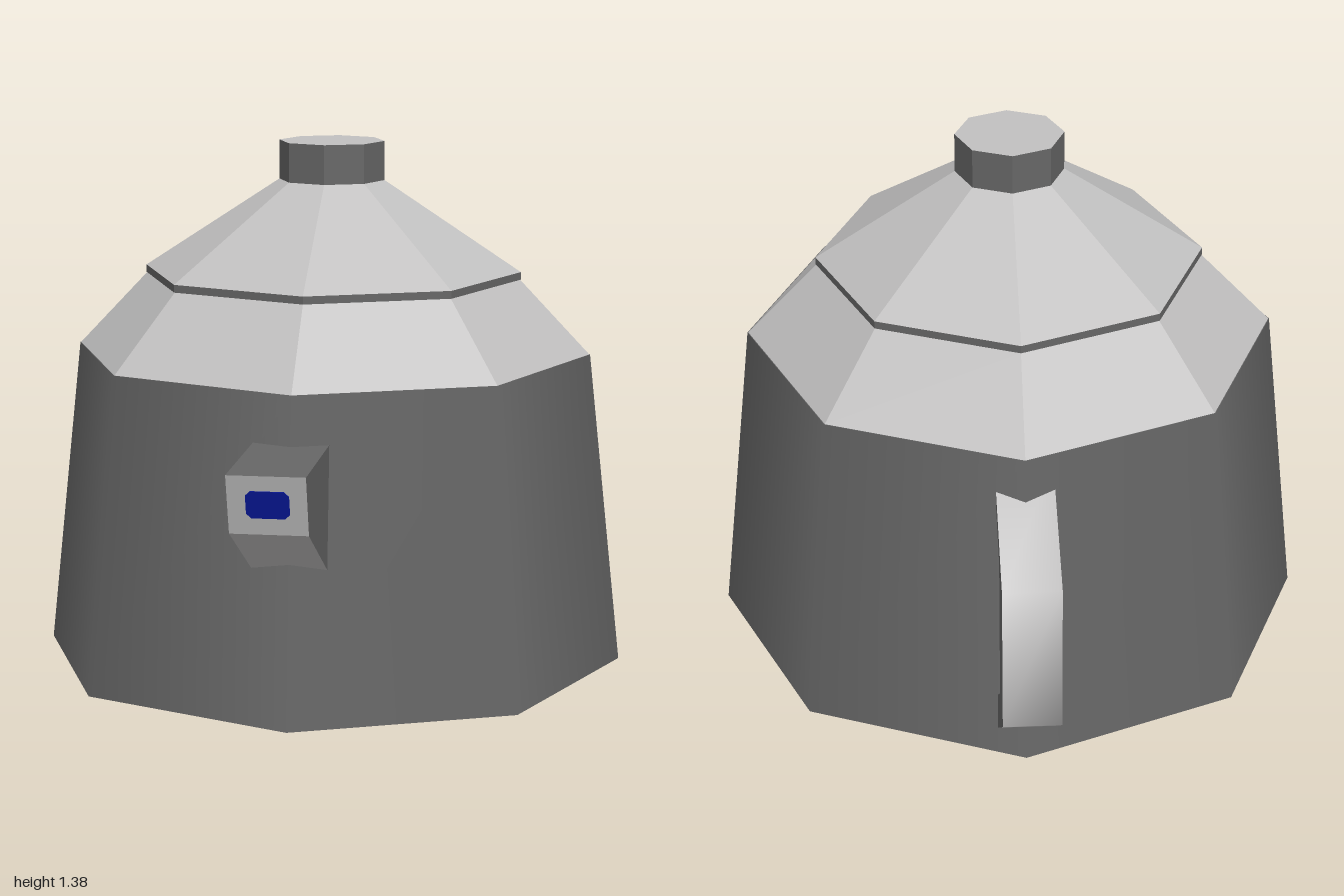
import * as THREE from 'three';
import { toCreasedNormals } from 'three/addons/utils/BufferGeometryUtils.js';

const SIDES = 8;
const AXIS_Z = -0.035; // centre line of the pot

export function createModel() {
  const mat = (name, color) => Object.assign(new THREE.MeshStandardMaterial({ color }), { name });
  const dark = mat('dark grey', 0x666666);
  const light = mat('light grey', 0xc1c0c0);
  const blue = mat('deep blue', 0x08189c);

  const group = new THREE.Group();
  group.name = 'kettle';
  const add = (name, geometry, material) => {
    const mesh = new THREE.Mesh(geometry, material);
    mesh.name = name;
    group.add(mesh);
    return mesh;
  };

  // Octagonal ring of the pot between two heights; flat facets unless smooth
  const tier = (name, rTop, rBottom, y0, y1, material, { open = true, smooth = false } = {}) => {
    let geo = new THREE.CylinderGeometry(rTop, rBottom, y1 - y0, SIDES, 1, open);
    if (!smooth) {
      geo = geo.toNonIndexed();
      geo.computeVertexNormals();
    }
    geo.translate(0, (y0 + y1) / 2, AXIS_Z);
    return add(name, geo, material);
  };

  // Side profile [z, y] (counter-clockwise) extruded across x; listed edges use material 1
  const prism = (points, width, xCentre, paintedEdges) => {
    const shape = new THREE.Shape(points.map(([z, y]) => new THREE.Vector2(z, y)));
    const geo = new THREE.ExtrudeGeometry(shape, { depth: width, bevelEnabled: false });
    geo.rotateY(-Math.PI / 2).translate(xCentre + width / 2, 0, 0);
    const start = geo.groups[1].start;
    geo.clearGroups();
    geo.addGroup(0, start, 0);
    points.forEach((_, edge) => {
      geo.addGroup(start + edge * 6, 6, paintedEdges.includes(edge) ? 1 : 0);
    });
    return geo;
  };

  // Pot body with a light base, shoulder, lid and knob
  tier('body', 0.687, 0.777, 0, 0.825, [dark, dark, light], { open: false, smooth: true });
  tier('shoulder', 0.5, 0.685, 0.825, 1.02, light);
  tier('lidRim', 0.502, 0.502, 1.02, 1.04, dark);
  tier('lid', 0.14, 0.502, 1.04, 1.277, light);
  tier('knob', 0.14, 0.14, 1.275, 1.38, [dark, light, dark], { open: false });

  // Spout with light underside and front face
  const spout = [[0.55, 0.335], [0.955, 0.55], [1, 0.7], [0.55, 0.7]];
  add('spout', prism(spout, 0.19, -0.005, [0, 1]), [dark, light]);

  // Spout opening: thin plate with clipped corners on the slanted face
  const w = 0.052, h = 0.036, c = 0.012;
  const opening = new THREE.Shape([
    [-w + c, -h], [w - c, -h], [w, -h + c], [w, h - c],
    [w - c, h], [-w + c, h], [-w, h - c], [-w, -h + c],
  ].map(([x, y]) => new THREE.Vector2(x, y)));
  const plate = add('spoutOpening',
    new THREE.ExtrudeGeometry(opening, { depth: 0.002, bevelEnabled: false }), blue);
  plate.position.set(-0.004, 0.627, 0.978);
  plate.rotation.x = Math.atan2(0.045, 0.15);

  // Handle with a light outer strip
  const handle = [
    [-0.62, 0.765], [-0.97, 0.61], [-1, 0.24], [-0.72, 0.028],
    [-0.69, 0.107], [-0.875, 0.25], [-0.845, 0.61], [-0.62, 0.733],
  ];
  const handleGeo = prism(handle, 0.145, -0.002, [0, 1, 2]);
  add('handle', toCreasedNormals(handleGeo, 1.2), [dark, light]);

  return group;
}
